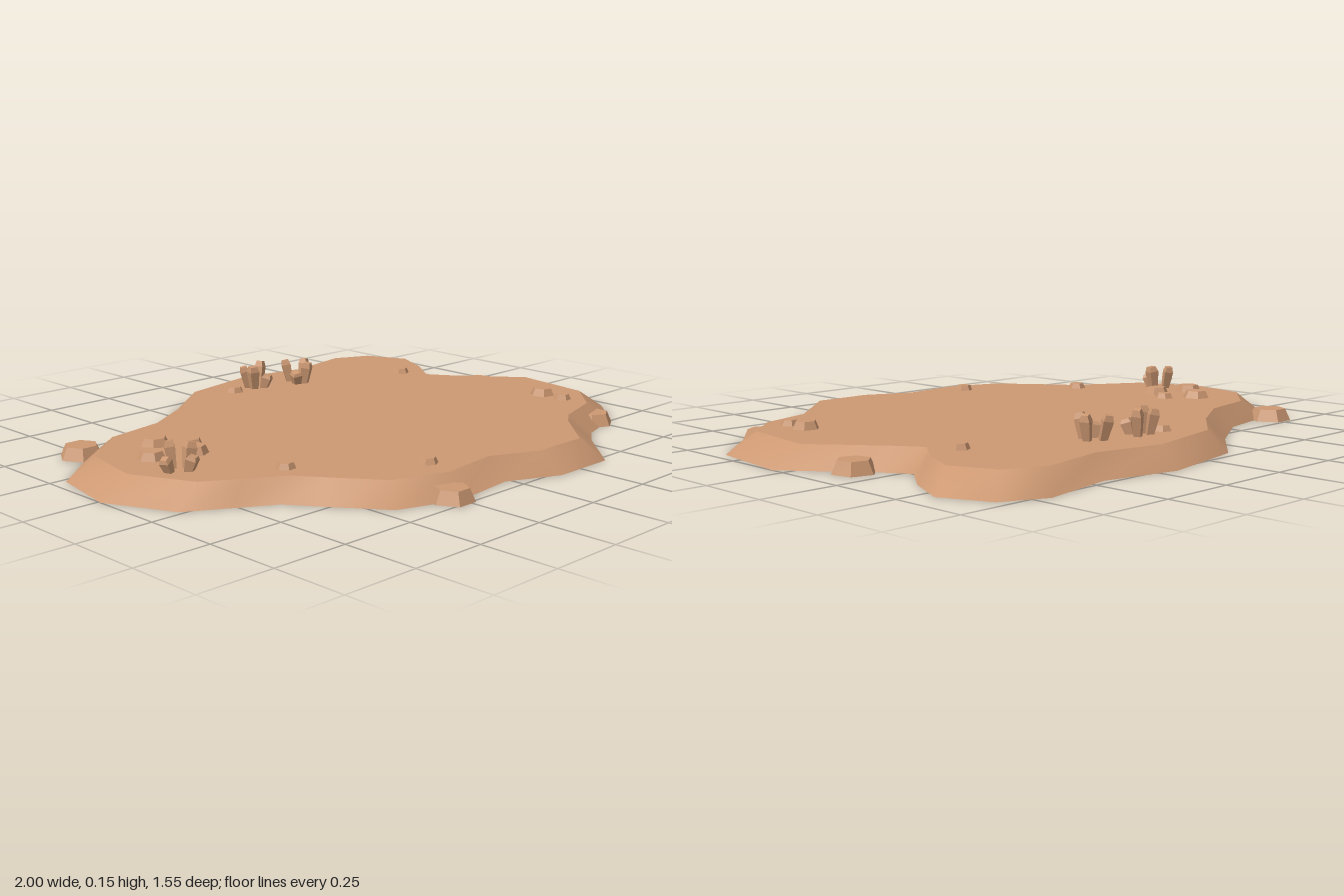
import * as THREE from 'three';

const clay = new THREE.MeshStandardMaterial({ color: 0xcc9872 });
clay.name = 'clay';
const clayFacets = clay.clone();
clayFacets.flatShading = true;

const TOP = 0.065, INSET = 0.903;

// Ground outline as x, z, from the right tip round the back
const outline = [
  [-1, 0.01], [-0.955, -0.23], [-0.77, -0.39], [-0.54, -0.435], [-0.33, -0.56], [-0.14, -0.715],
  [0.185, -0.78], [0.44, -0.725], [0.7, -0.775], [0.84, -0.71], [0.91, -0.55], [0.84, -0.4],
  [0.75, -0.28], [0.8, -0.2], [1, 0.05], [0.96, 0.35], [0.82, 0.49], [0.62, 0.55], [0.55, 0.6],
  [0.38, 0.775], [0.155, 0.775], [-0.02, 0.695], [-0.25, 0.72], [-0.45, 0.65], [-0.57, 0.49],
  [-0.645, 0.385], [-0.77, 0.31], [-0.895, 0.235],
];

function add(parent, name, geometry, material = clay) {
  const mesh = new THREE.Mesh(geometry, material);
  mesh.name = name;
  parent.add(mesh);
  return mesh;
}

// Flat face filling the outline, turned up (1) or down (-1)
function flatFace(scale, facing) {
  const shape = new THREE.Shape(outline.map(([x, z]) => new THREE.Vector2(x * scale, -facing * z * scale)));
  return new THREE.ShapeGeometry(shape).rotateX(-facing * Math.PI / 2);
}

// Sloping rim between the wide base and the inset top
function rimGeometry() {
  const positions = [], index = [], n = outline.length;
  outline.forEach(([x, z], i) => {
    positions.push(x, 0, z, x * INSET, TOP, z * INSET);
    const a = 2 * i, b = 2 * ((i + 1) % n);
    index.push(a, a + 1, b, b, a + 1, b + 1);
  });
  const g = new THREE.BufferGeometry();
  g.setAttribute('position', new THREE.Float32BufferAttribute(positions, 3));
  g.setIndex(index);
  g.computeVertexNormals();
  return g;
}

// Six-sided stone, narrower at the top
function addStone(parent, name, x, z, r, y, height, turn) {
  const g = new THREE.CylinderGeometry(r * 0.74, r, height, 6);
  const stone = add(parent, name, g, clayFacets);
  stone.position.set(x, y + height / 2, z);
  stone.rotation.y = turn;
}

export function createModel() {
  const model = new THREE.Group();
  model.name = 'groundPatch';

  const ground = new THREE.Group();
  ground.name = 'ground';
  model.add(ground);
  add(ground, 'groundTop', flatFace(INSET, 1)).position.y = TOP;
  add(ground, 'groundRim', rimGeometry());
  add(ground, 'groundUnderside', flatFace(1, -1));

  // Stones half buried in the rim
  const edgeStones = [
    [-0.765, -0.425, 0.073, Math.PI / 2], [0.855, -0.142, 0.07, 0.25],
    [-0.268, 0.7, 0.07, Math.PI / 2], [0.735, 0.475, 0.068, 0],
  ];
  for (const [x, z, r, turn] of edgeStones) addStone(model, 'edgeStone', x, z, r, 0, 0.04, turn);

  // Pebbles lying on top
  const pebbles = [
    [-0.655, -0.185, 0.048], [-0.755, -0.07, 0.046], [-0.625, -0.027, 0.045], [-0.565, -0.112, 0.032],
    [-0.535, 0.285, 0.032], [-0.2, 0.545, 0.032], [0.73, 0.255, 0.044], [0.725, 0.345, 0.032],
    [0.63, -0.342, 0.032], [-0.02, -0.55, 0.032],
  ];
  pebbles.forEach(([x, z, r], i) =>
    addStone(model, 'pebble', x, z, r, TOP, r > 0.04 ? 0.025 : 0.018, 0.3 + i * 0.35));

  // Tufts of stubby stalks fanning outwards: tip x, tip z, tip height
  const tufts = [
    { centre: [0.083, -0.55], tips: [[0.045, -0.575, 0.142], [0.13, -0.578, 0.15], [0.05, -0.53, 0.148], [0.107, -0.512, 0.112]] },
    { centre: [0.248, -0.502], tips: [[0.23, -0.555, 0.142], [0.292, -0.517, 0.145], [0.21, -0.475, 0.11], [0.255, -0.46, 0.142]] },
    { centre: [-0.768, 0.082], tips: [[-0.77, 0.035, 0.145], [-0.823, 0.082, 0.11], [-0.728, 0.085, 0.145], [-0.75, 0.125, 0.112]] },
  ];
  const up = new THREE.Vector3(0, 1, 0);
  for (const { centre: [cx, cz], tips } of tufts) {
    const tuft = new THREE.Group();
    tuft.name = 'tuft';
    model.add(tuft);
    tips.forEach(([x, z, y], i) => {
      const base = new THREE.Vector3(x + (cx - x) * 0.35, TOP - 0.004, z + (cz - z) * 0.35);
      const lean = new THREE.Vector3(x, y, z).sub(base);
      const h = lean.length();
      const profile = [[0, 0], [0.017, 0], [0.025, h * 0.78], [0.017, h], [0, h]];
      const g = new THREE.LatheGeometry(profile.map(([r, v]) => new THREE.Vector2(r, v)), 4);
      g.scale(1, 1, 0.85).rotateY(0.25 + i * 0.9);
      const stalk = add(tuft, 'stalk', g, clayFacets);
      stalk.position.copy(base);
      stalk.quaternion.setFromUnitVectors(up, lean.normalize());
    });
  }
  return model;
}
